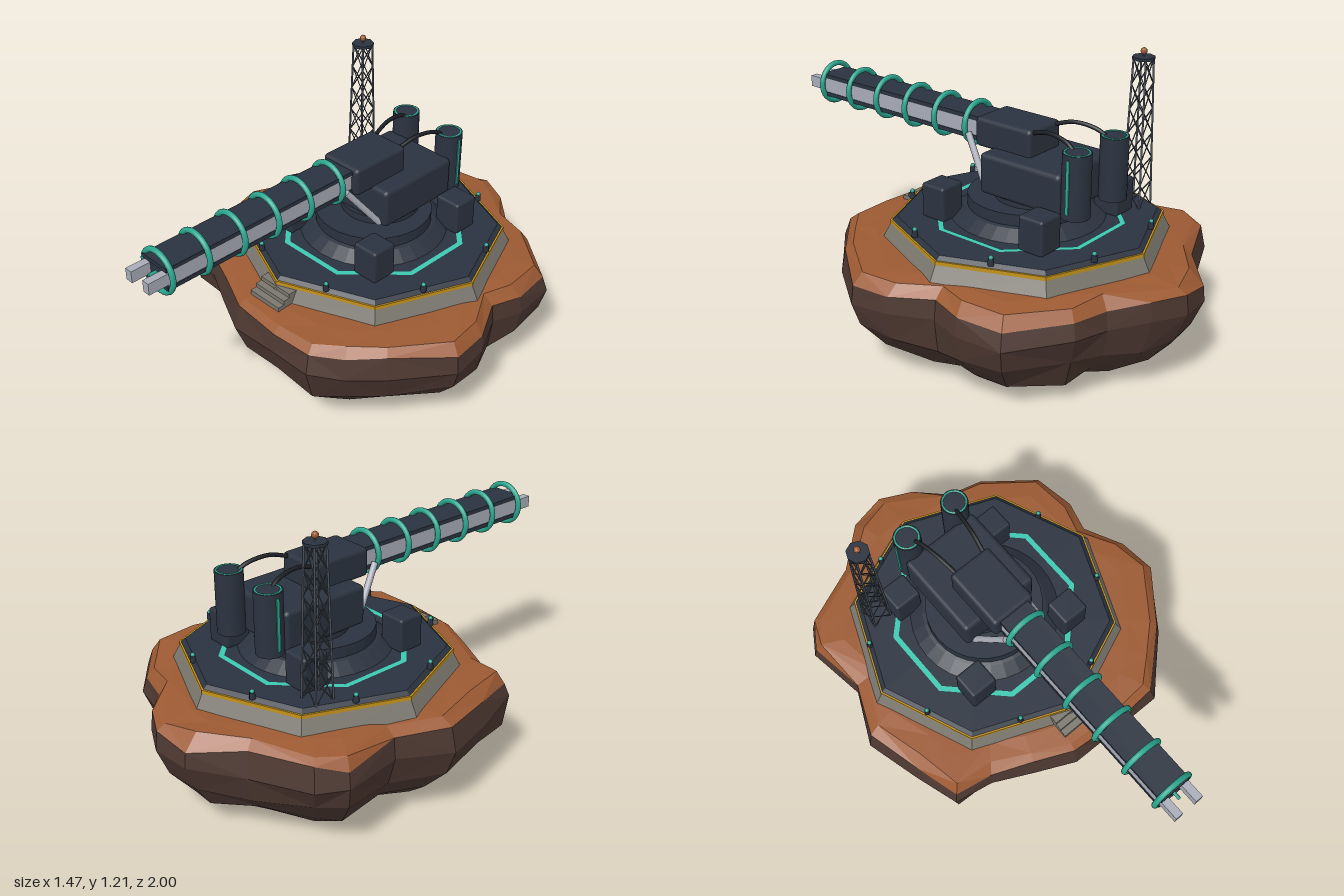
import * as THREE from 'three';
import { RoundedBoxGeometry } from 'three/addons/geometries/RoundedBoxGeometry.js';

const CX = -0.01, CZ = -0.22;

function mat(name, color, extra = {}) {
  const m = new THREE.MeshStandardMaterial({ color, ...extra });
  m.name = name;
  return m;
}

export function createModel() {
  const M = {
    rock: mat('dark rock', 0x4d3831, { flatShading: true }),
    soil: mat('rust soil', 0x9c5a33, { flatShading: true }),
    concrete: mat('concrete', 0x7b786f, { flatShading: true }),
    yellow: mat('hazard yellow', 0xc4921c),
    navy: mat('navy armour', 0x2b3340),
    teal: mat('teal coil', 0x2ba58f),
    glow: mat('bright teal', 0x3cc8b0),
    rail: mat('pale steel', 0xa9acb8),
    steel: mat('mast steel', 0x4b515c),
    cable: mat('black cable', 0x1b1e24),
  };
  const root = new THREE.Group();
  root.name = 'railTurretOnRock';

  const add = (parent, name, geo, material, x = 0, y = 0, z = 0) => {
    const mesh = new THREE.Mesh(geo, material);
    mesh.name = name;
    mesh.position.set(x, y, z);
    parent.add(mesh);
    return mesh;
  };
  const box = (w, h, d) => new THREE.BoxGeometry(w, h, d);
  const rbox = (w, h, d, r = 0.012) => new RoundedBoxGeometry(w, h, d, 2, r);
  // Straight round bar between two points
  const bar = (parent, name, a, b, r, material, sides = 6) => {
    const d = b.clone().sub(a);
    const mesh = add(parent, name, new THREE.CylinderGeometry(r, r, d.length(), sides), material);
    mesh.position.copy(a).add(b).multiplyScalar(0.5);
    mesh.quaternion.setFromUnitVectors(new THREE.Vector3(0, 1, 0), d.normalize());
    return mesh;
  };
  const V = (x, y, z) => new THREE.Vector3(x, y, z);

  root.add(makeRock(M));

  // Everything on the rock shares one centre
  const base = new THREE.Group();
  base.name = 'emplacement';
  base.position.set(CX, 0, CZ);
  root.add(base);

  // Octagonal foundation and deck, corners on the axes
  const oct = (name, rTop, rBot, y0, y1, m) => {
    const g = new THREE.CylinderGeometry(rTop, rBot, y1 - y0, 8).toNonIndexed();
    g.computeVertexNormals();
    return add(base, name, g, m, 0, (y0 + y1) / 2, 0);
  };
  oct('foundation', 0.565, 0.61, 0.42, 0.507, M.concrete);
  oct('hazardBand', 0.567, 0.567, 0.505, 0.521, M.yellow);
  oct('deck', 0.54, 0.56, 0.52, 0.536, M.navy);

  // Lit octagonal line on the deck
  const line = new THREE.RingGeometry(0.383, 0.407, 8, 1, Math.PI / 8);
  add(base, 'deckLightLine', line, M.glow, 0, 0.5385, 0).rotation.x = -Math.PI / 2;

  // Deck lamps
  for (let i = 0; i < 8; i++) {
    const a = Math.PI / 8 + i * Math.PI / 4, x = 0.515 * Math.cos(a), z = 0.515 * Math.sin(a);
    add(base, 'lampPost', new THREE.CylinderGeometry(0.011, 0.013, 0.028, 8), M.navy, x * 0.99, 0.545, z * 0.99);
    add(base, 'lamp', new THREE.SphereGeometry(0.01, 8, 6), M.teal, x * 0.99, 0.562, z * 0.99);
  }

  // Front steps
  for (let i = 0; i < 3; i++) {
    const h = 0.062 - i * 0.019;
    add(base, 'step', box(0.17, h, 0.045), M.concrete, 0, 0.44 + h / 2, 0.55 + i * 0.03);
  }

  // Turret pedestal
  const profile = [[0, 0.535], [0.32, 0.535], [0.265, 0.575], [0.25, 0.58], [0.25, 0.628], [0, 0.628]];
  const pedestal = new THREE.LatheGeometry(profile.map(p => new THREE.Vector2(...p)), 32).toNonIndexed();
  pedestal.computeVertexNormals();
  add(base, 'pedestal', pedestal, M.navy);
  add(base, 'turntable', new THREE.CylinderGeometry(0.17, 0.17, 0.04, 32), M.navy, 0, 0.64, -0.04);

  // Corner equipment blocks
  for (const sx of [-1, 1]) for (const sz of [-1, 1])
    add(base, 'equipmentBlock', rbox(0.122, 0.148, 0.118), M.navy, sx * 0.248, 0.606, sz * 0.25);

  // Gun
  const gun = new THREE.Group();
  gun.name = 'gun';
  gun.position.x = CX;
  root.add(gun);
  add(gun, 'turretBody', rbox(0.36, 0.172, 0.4, 0.02), M.navy, 0, 0.734, -0.307);
  add(gun, 'breech', rbox(0.2, 0.125, 0.285, 0.018), M.navy, 0, 0.868, -0.16);

  const z0 = -0.05, z1 = 0.92, len = z1 - z0, zm = (z0 + z1) / 2;
  add(gun, 'topPlate', box(0.142, 0.018, len), M.navy, 0, 0.909, zm);
  add(gun, 'bottomPlate', box(0.142, 0.018, len), M.navy, 0, 0.826, zm);
  add(gun, 'barrelCore', box(0.07, 0.066, len - 0.01), M.navy, 0, 0.868, zm);
  add(gun, 'boreTip', new THREE.CylinderGeometry(0.007, 0.007, 0.04, 8), M.teal, 0, 0.868, 0.93).rotation.x = Math.PI / 2;
  for (const s of [-1, 1]) {
    add(gun, 'rail', box(0.034, 0.05, 1.05), M.rail, s * 0.051, 0.867, 0.475);
    add(gun, 'railCheek', box(0.03, 0.066, len - 0.02), M.rail, s * 0.053, 0.868, zm);
    // Elevation strut
    bar(gun, 'strut', V(s * 0.14, 0.66, -0.11), V(s * 0.085, 0.845, 0.03), 0.014, M.rail, 10);
  }
  for (let i = 0; i < 6; i++)
    add(gun, 'coilRing', new THREE.TorusGeometry(0.087, 0.012, 10, 36), M.teal, 0, 0.867, 0.05 + i * 0.171);

  // Capacitor tanks with cables to the breech
  for (const s of [-1, 1]) {
    const x = s * 0.124, z = -0.547;
    add(gun, 'tank', new THREE.CylinderGeometry(0.058, 0.058, 0.265, 24), M.navy, x, 0.782, z);
    const cap = add(gun, 'tankRing', new THREE.TorusGeometry(0.05, 0.005, 6, 24), M.teal, x, 0.913, z);
    cap.rotation.x = Math.PI / 2;
    add(gun, 'tankStrip', box(0.008, 0.22, 0.014), M.teal, x + s * 0.057, 0.785, z);
    const path = new THREE.CatmullRomCurve3([
      V(s * 0.11, 0.9, -0.525), V(s * 0.1, 0.928, -0.48), V(s * 0.085, 0.94, -0.38), V(s * 0.07, 0.915, -0.29)]);
    add(gun, 'cable', new THREE.TubeGeometry(path, 16, 0.009, 8), M.cable);
  }

  // Lattice mast
  const mast = new THREE.Group();
  mast.name = 'mast';
  mast.position.set(-0.37, 0, -0.51);
  root.add(mast);
  const yB = 0.53, yT = 1.165, bays = 6;
  const corner = (k, t) => {
    const w = 0.043 - 0.014 * t, sx = [1, 1, -1, -1][k % 4], sz = [1, -1, -1, 1][k % 4];
    return V(sx * w, yB + (yT - yB) * t, sz * w);
  };
  for (let k = 0; k < 4; k++) {
    bar(mast, 'mastLeg', corner(k, 0), corner(k, 1), 0.0045, M.steel);
    for (let i = 0; i < bays; i++) {
      const a = i / bays, b = (i + 1) / bays;
      bar(mast, 'brace', corner(k, a), corner(k + 1, b), 0.0028, M.steel, 4);
      bar(mast, 'brace', corner(k + 1, a), corner(k, b), 0.0028, M.steel, 4);
    }
  }
  add(mast, 'mastCap', new THREE.CylinderGeometry(0.047, 0.047, 0.012, 8), M.navy, 0, 1.167, 0);
  add(mast, 'beaconStem', new THREE.CylinderGeometry(0.004, 0.004, 0.02, 6), M.steel, 0, 1.178, 0);
  add(mast, 'beacon', new THREE.SphereGeometry(0.014, 12, 8), M.soil, 0, 1.195, 0);
  return root;
}

// Faceted boulder: one plan outline scaled through a stack of rings
function makeRock(M) {
  const outline = [
    [0, -1], [0.14, -0.93], [0.27, -0.82], [0.43, -0.79], [0.65, -0.62], [0.67, -0.42], [0.63, -0.28],
    [0.72, -0.11], [0.735, 0.06], [0.57, 0.29], [0.45, 0.41], [0.34, 0.51], [0.14, 0.51], [-0.1, 0.5],
    [-0.27, 0.42], [-0.44, 0.34], [-0.61, 0.31], [-0.67, 0.11], [-0.735, -0.13], [-0.63, -0.35],
    [-0.67, -0.61], [-0.6, -0.72], [-0.34, -0.83], [-0.16, -0.98]];
  // scale, height, scale jitter, height jitter
  const rings = [
    [0.8, 0.448, 0.02, 0.002], [0.92, 0.442, 0.02, 0.008], [0.98, 0.402, 0.012, 0.018], [1, 0.32, 0.003, 0.02],
    [0.95, 0.2, 0.025, 0.025], [0.81, 0.09, 0.03, 0.015], [0.68, 0.03, 0.03, 0.008], [0.54, 0, 0.04, 0]];
  let seed = 7;
  const rnd = () => ((seed = (seed * 16807) % 2147483647) / 2147483647) * 2 - 1;
  const cz = -0.235, n = outline.length;
  const pts = rings.map(([s, y, js, jy]) => outline.map(([x, z]) => {
    const k = s + rnd() * js;
    return [x * k, y + rnd() * jy, cz + (z - cz) * k];
  }));
  const soil = [], rock = [];
  for (let i = 0; i < n; i++) {
    const j = (i + 1) % n;
    soil.push([0, 0.448, cz], pts[0][j], pts[0][i]);
    rock.push([0, 0, cz], pts[rings.length - 1][i], pts[rings.length - 1][j]);
    for (let r = 0; r < rings.length - 1; r++) {
      const a = pts[r][i], b = pts[r][j], c = pts[r + 1][j], d = pts[r + 1][i];
      const quad = (i + r) % 2 ? [a, b, c, a, c, d] : [a, b, d, b, c, d];
      (r < 2 ? soil : rock).push(...quad);
    }
  }
  const group = new THREE.Group();
  group.name = 'boulder';
  for (const [name, tris, m] of [['soilTop', soil, M.soil], ['rockSides', rock, M.rock]]) {
    const g = new THREE.BufferGeometry();
    g.setAttribute('position', new THREE.Float32BufferAttribute(tris.flat(), 3));
    g.computeVertexNormals();
    const mesh = new THREE.Mesh(g, m);
    mesh.name = name;
    group.add(mesh);
  }
  return group;
}
